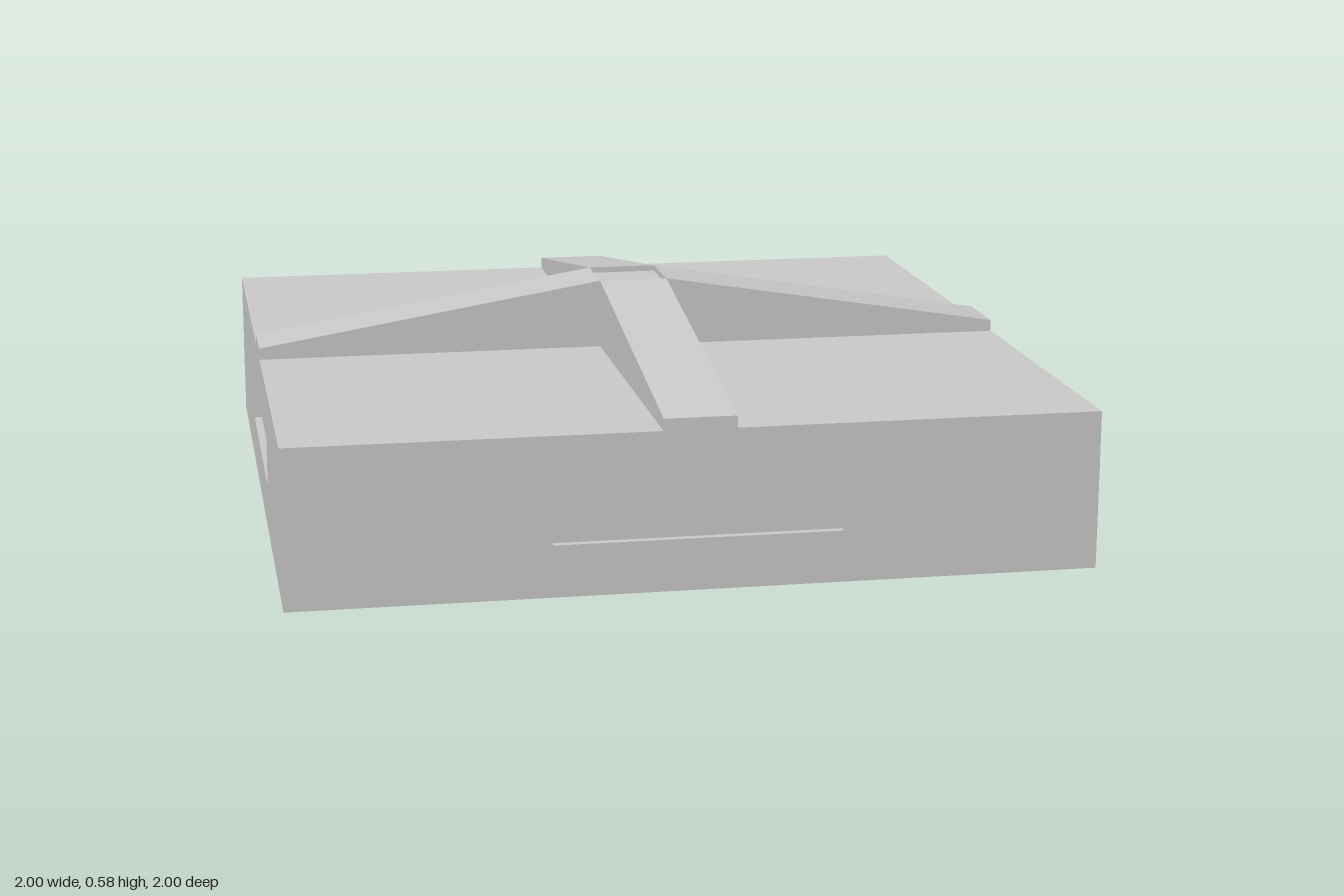
import * as THREE from 'three';

const material = new THREE.MeshStandardMaterial({ color: 0xcccccc, flatShading: true });
const HEIGHT = 0.4, DEPTH = 0.02, HALF_RIB = 0.09;

function add(parent, name, geometry) {
  const mesh = new THREE.Mesh(geometry, material);
  mesh.name = name;
  parent.add(mesh);
  return mesh;
}

function polygon(points, Type = THREE.Shape) {
  return new Type(points.map(([x, y]) => new THREE.Vector2(x, y)));
}

// Side panel with a rectangular slot; four of them interlock around the core
function panelGeometry() {
  const shape = polygon([[-1, 0], [1 - DEPTH, 0], [1 - DEPTH, HEIGHT], [-1, HEIGHT]]);
  shape.holes.push(polygon([[-0.357, 0.13], [-0.357, 0.273], [0.357, 0.273], [0.357, 0.13]], THREE.Path));
  return new THREE.ExtrudeGeometry(shape, { depth: DEPTH, bevelEnabled: false })
    .translate(0, 0, 1 - DEPTH);
}

// Tapered rib running from the middle out to one edge
function ribGeometry() {
  const shape = polygon([[HALF_RIB, HEIGHT], [1, HEIGHT], [1, 0.43], [HALF_RIB, 0.58]]);
  return new THREE.ExtrudeGeometry(shape, { depth: 2 * HALF_RIB, bevelEnabled: false })
    .translate(0, 0, -HALF_RIB);
}

export function createModel() {
  const model = new THREE.Group();
  model.name = 'ribbedSlab';

  // Core of the slab, whose sides form the backs of the slots
  const inner = 2 - 2 * DEPTH;
  add(model, 'slabCore', new THREE.BoxGeometry(inner, HEIGHT, inner).translate(0, HEIGHT / 2, 0));

  // Slotted panels and sloping ribs on all four sides
  const panel = panelGeometry(), rib = ribGeometry();
  ['front', 'left', 'back', 'right'].forEach((side, i) => {
    add(model, side + 'Panel', panel).rotation.y = i * Math.PI / 2;
    add(model, side + 'Rib', rib).rotation.y = (i - 1) * Math.PI / 2;
  });

  // Slightly sunken block where the ribs meet
  const top = 0.565;
  add(model, 'centreBlock', new THREE.BoxGeometry(2 * HALF_RIB, top - HEIGHT, 2 * HALF_RIB)
    .translate(0, (top + HEIGHT) / 2, 0));

  return model;
}
